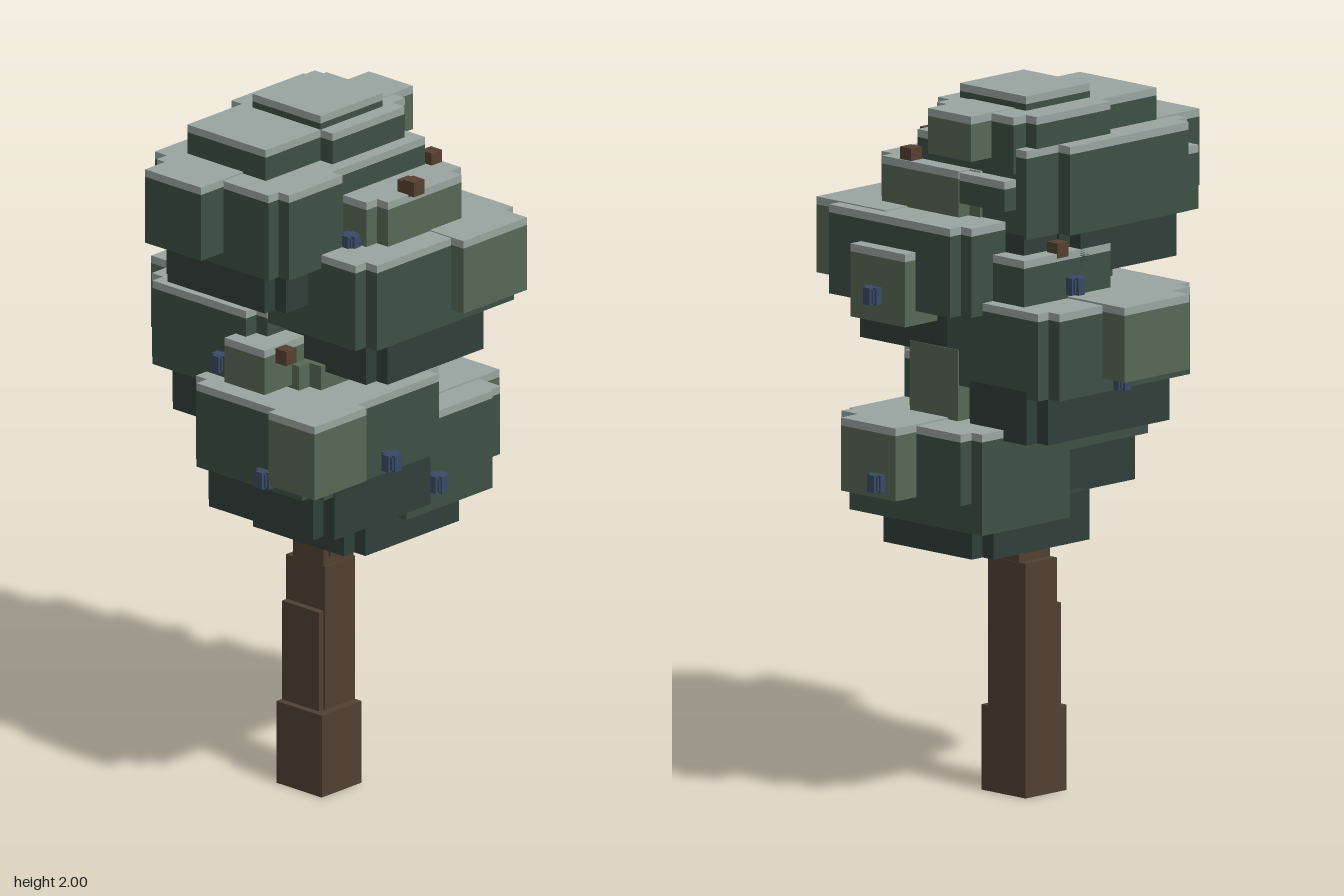
import * as THREE from 'three';

const mat = (color) => new THREE.MeshStandardMaterial({ color, flatShading: true, roughness: 0.9 });
const M = {
  dark: mat(0x2f3f39), mid: mat(0x3d5045), light: mat(0x566855),
  snow: mat(0x9aa5a0), bark: mat(0x504032), twig: mat(0x564031), berry: mat(0x3a4a66),
};
const V = 0.042; // block size
const CAP = 0.022; // thickness of the frosted top

// Box given by its limits
function box(parent, name, m, [x0, x1, y0, y1, z0, z1]) {
  const mesh = new THREE.Mesh(new THREE.BoxGeometry(x1 - x0, y1 - y0, z1 - z0), m);
  mesh.position.set((x0 + x1) / 2, (y0 + y1) / 2, (z0 + z1) / 2);
  mesh.name = name;
  parent.add(mesh);
}

// Leaf block with a frosted top
function leaf(parent, m, [x0, x1, y0, y1, z0, z1]) {
  box(parent, 'leaves', m, [x0, x1, y0, y1 - CAP, z0, z1]);
  box(parent, 'frost', M.snow, [x0, x1, y1 - CAP, y1, z0, z1]);
}

// Two crossed leaf blocks, giving stepped corners
function pad(parent, m, [x0, x1, y0, y1, z0, z1], capped = true) {
  for (const [a, b] of [[V, 0], [0, V]]) {
    const limits = [x0 + a, x1 - a, y0, y1, z0 + b, z1 - b];
    if (capped) leaf(parent, m, limits);
    else box(parent, 'underside', m, limits);
  }
}

function cluster(root, name, build) {
  const g = new THREE.Group();
  g.name = name;
  build(g);
  root.add(g);
}

export function createModel() {
  const root = new THREE.Group();
  root.name = 'tree';

  // Trunk, stepping inwards as it rises
  cluster(root, 'trunk', (g) => {
    box(g, 'trunkBase', M.bark, [-0.14, 0.02, 0, 0.24, -0.04, 0.13]);
    box(g, 'trunkMiddle', M.bark, [-0.12, 0.018, 0.2, 0.53, -0.038, 0.1]);
    box(g, 'trunkUpper', M.bark, [-0.1, 0.022, 0.2, 0.66, -0.042, 0.104]);
    box(g, 'trunkTop', M.bark, [-0.1, 0.02, 0.6, 1.6, -0.015, 0.1]);
    box(g, 'trunkFork', M.bark, [-0.08, 0.045, 0.685, 0.8, -0.012, 0.106]);
  });

  // Inner leaves joining the clusters
  cluster(root, 'core', (g) => {
    pad(g, M.light, [-0.25, 0.283, 1.1, 1.3, -0.08, 0.19], false);
    pad(g, M.dark, [-0.15, 0.19, 1.25, 1.66, -0.17, 0.2], false);
  });

  // Low cluster on the right of the front
  cluster(root, 'lowCluster', (g) => {
    pad(g, M.dark, [-0.14, 0.32, 0.73, 0.87, -0.17, 0.255], false);
    leaf(g, M.mid, [0.02, 0.365, 0.815, 1.1, -0.21, 0.3]);
    leaf(g, M.mid, [0.06, 0.407, 0.9, 1.1, -0.17, 0.29]);
    leaf(g, M.light, [0.2, 0.49, 0.9, 1.105, 0, 0.21]);
  });

  // Front cluster on the left of the front
  cluster(root, 'frontCluster', (g) => {
    pad(g, M.dark, [-0.36, 0.11, 0.86, 1.0, -0.13, 0.345], false);
    pad(g, M.mid, [-0.4, 0.15, 0.985, 1.23, -0.14, 0.34]);
    leaf(g, M.light, [-0.44, -0.23, 1.02, 1.235, 0.21, 0.383]);
  });

  // Back cluster
  cluster(root, 'backCluster', (g) => {
    pad(g, M.dark, [-0.28, 0.28, 1.07, 1.22, -0.34, -0.04], false);
    pad(g, M.mid, [-0.315, 0.28, 1.2, 1.445, -0.385, 0.05]);
    leaf(g, M.light, [-0.185, 0.07, 1.24, 1.45, -0.47, -0.25]);
    leaf(g, M.light, [-0.36, -0.2, 1.24, 1.37, -0.03, 0.12]);
    leaf(g, M.mid, [-0.1, 0.24, 1.4, 1.575, -0.25, 0]);
  });

  // Wide cluster half way up, towards the front
  cluster(root, 'middleCluster', (g) => {
    pad(g, M.dark, [-0.19, 0.28, 1.28, 1.42, -0.05, 0.385], false);
    pad(g, M.mid, [-0.27, 0.365, 1.41, 1.66, -0.13, 0.42]);
    leaf(g, M.light, [0.07, 0.325, 1.45, 1.663, 0.2, 0.467]);
    leaf(g, M.light, [0.25, 0.407, 1.37, 1.575, 0.045, 0.255]);
  });

  // Small raised shelf above the wide cluster
  cluster(root, 'upperShelf', (g) => pad(g, M.light, [-0.14, 0.24, 1.62, 1.79, -0.04, 0.34]));

  // Top cluster, narrowing to the crown
  cluster(root, 'crown', (g) => {
    pad(g, M.dark, [-0.4, 0.06, 1.5, 1.63, -0.25, 0.2], false);
    box(g, 'underside', M.dark, [0, 0.19, 1.5, 1.63, -0.2, 0.16]);
    leaf(g, M.mid, [-0.44, 0.19, 1.62, 1.87, -0.21, 0.21]);
    leaf(g, M.mid, [-0.4, 0.065, 1.62, 1.87, -0.255, 0.2]);
    leaf(g, M.mid, [-0.44, -0.2, 1.62, 1.8, -0.253, 0]);
    leaf(g, M.mid, [-0.4, -0.185, 1.62, 1.87, -0.2, 0.25]);
    leaf(g, M.mid, [-0.53, -0.3, 1.66, 1.875, -0.17, 0.04]);
    leaf(g, M.mid, [0, 0.236, 1.7, 1.785, -0.17, 0.06]);
    leaf(g, M.mid, [-0.36, 0.2, 1.8, 1.96, -0.17, 0.125]);
    leaf(g, M.mid, [-0.14, 0.15, 1.8, 1.96, -0.21, 0.17]);
    leaf(g, M.light, [0.05, 0.28, 1.835, 1.962, -0.085, 0.08]);
    leaf(g, M.mid, [-0.14, 0.11, 1.9, 2.0, -0.13, 0.125]);
  });

  // Twigs resting on the leaves
  cluster(root, 'twigs', (g) => {
    const spots = [[0.005, 1.805, 0.32], [0.005, 1.81, 0.34], [0.215, 1.805, 0.21],
      [0.09, 1.585, -0.232], [-0.295, 1.345, 0.14], [0.19, 1.24, 0.19]];
    for (const [x, y, z] of spots) {
      box(g, 'twig', M.twig, [x - 0.021, x + 0.021, y - 0.022, y + 0.02, z - 0.021, z + 0.021]);
    }
  });

  // Berries: a tall and a wide block crossed, half sunk in the leaves
  cluster(root, 'berries', (g) => {
    const spots = [[-0.13, 1.05, 0.383], [0.1, 0.915, 0.345], [0.495, 0.945, 0.065],
      [0.415, 1.445, 0.16], [0.05, 1.48, -0.26], [0, 1.225, -0.39],
      [-0.33, 1.28, -0.07], [-0.405, 1.02, 0.165], [-0.16, 1.67, 0.258]];
    for (const [x, y, z] of spots) {
      for (const [a, b, c] of [[0.026, 0.024, 0.013], [0.013, 0.024, 0.026], [0.019, 0.019, 0.019]]) {
        box(g, 'berry', M.berry, [x - a, x + a, y - b, y + b, z - c, z + c]);
      }
    }
  });

  return root;
}
